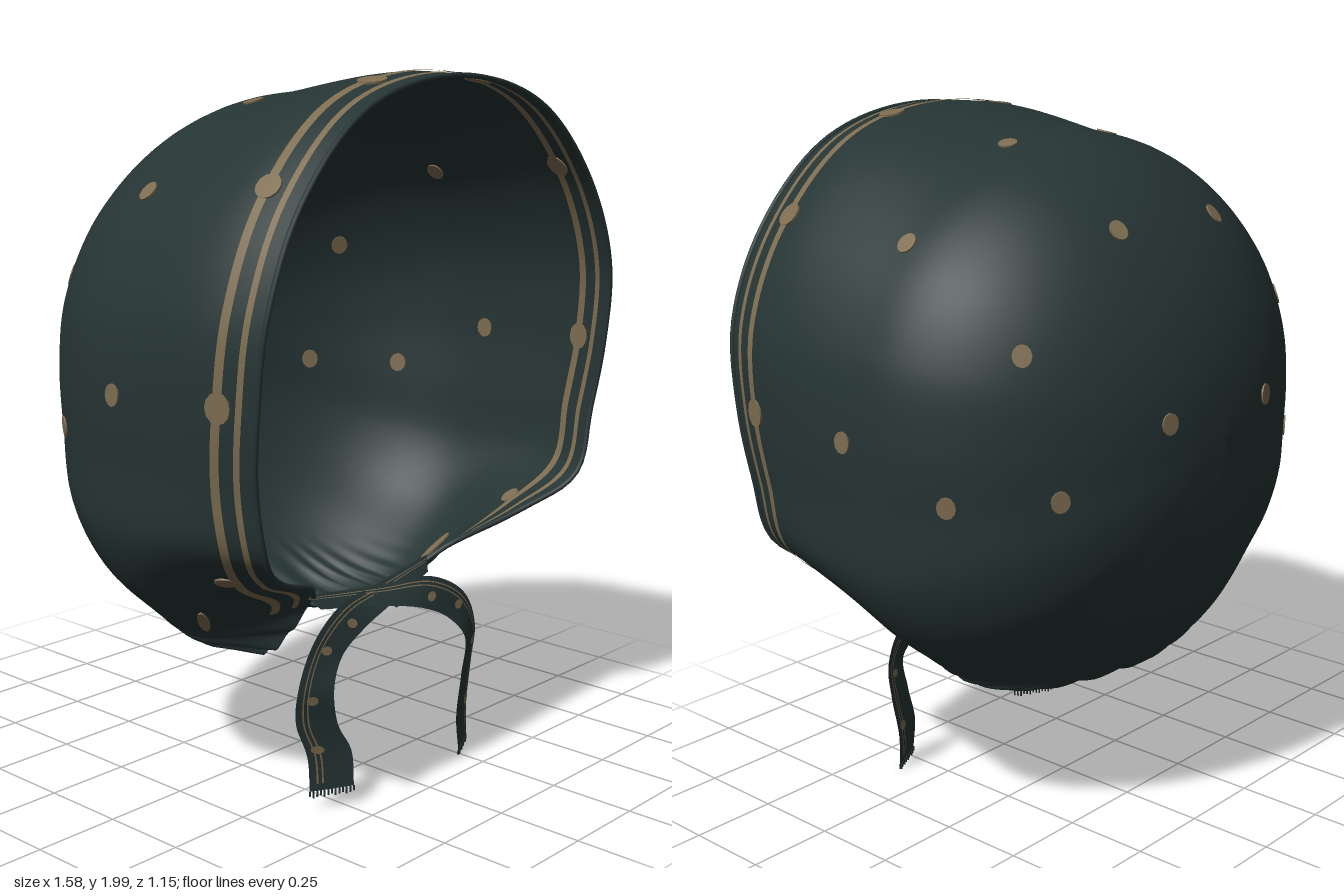
import * as THREE from 'three';
import { mergeVertices, mergeGeometries } from 'three/addons/utils/BufferGeometryUtils.js';

const V = (x, y, z) => new THREE.Vector3(x, y, z);
const mat = (name, color) => {
  const m = new THREE.MeshStandardMaterial({ color, side: THREE.DoubleSide });
  m.name = name;
  return m;
};

// Smooth sheet from f(a, b), both 0..1
function sheet(f, na, nb) {
  const pos = [], idx = [];
  for (let i = 0; i <= na; i++)
    for (let j = 0; j <= nb; j++) pos.push(...f(i / na, j / nb).toArray());
  for (let i = 0; i < na; i++)
    for (let j = 0; j < nb; j++) {
      const a = i * (nb + 1) + j, b = a + nb + 1;
      idx.push(a, a + 1, b, a + 1, b + 1, b);
    }
  let g = new THREE.BufferGeometry();
  g.setAttribute('position', new THREE.Float32BufferAttribute(pos, 3));
  g.setIndex(idx);
  g = mergeVertices(g, 1e-5);
  g.computeVertexNormals();
  return g;
}

// Half outline from crown to nape: widest point, brim swell, open edge
const ROWS = [
  [0, 1.94, 0.05, 0, 1.99, 0.4, 0, 1.98, 0.56],
  [0.36, 1.86, 0.05, 0.38, 1.915, 0.4, 0.37, 1.9, 0.562],
  [0.62, 1.66, 0.05, 0.635, 1.69, 0.39, 0.61, 1.68, 0.567],
  [0.75, 1.42, 0.05, 0.76, 1.43, 0.38, 0.725, 1.43, 0.568],
  [0.78, 1.2, 0.05, 0.78, 1.2, 0.37, 0.74, 1.2, 0.548],
  [0.77, 1.0, 0.05, 0.765, 1.0, 0.34, 0.72, 0.99, 0.522],
  [0.75, 0.8, 0.05, 0.74, 0.82, 0.3, 0.67, 0.8, 0.51],
  [0.66, 0.64, 0.03, 0.62, 0.67, 0.22, 0.52, 0.7, 0.42],
  [0.52, 0.51, 0.02, 0.46, 0.53, 0.16, 0.25, 0.575, 0.28],
  [0.4, 0.42, 0, 0.36, 0.42, 0.08, 0.29, 0.41, 0.17],
  [0.28, 0.39, -0.06, 0.27, 0.385, -0.02, 0.25, 0.39, 0.03],
  [0, 0.41, -0.2, 0, 0.385, -0.15, 0, 0.4, -0.1],
];
const N = 22; // rows around the full loop
const loops = [0, 3, 6].map((k) => {
  const pts = [];
  for (let i = 0; i < N; i++) {
    const r = ROWS[i < 12 ? i : N - i];
    pts.push(V((i < 12 ? 1 : -1) * r[k], r[k + 1], r[k + 2]));
  }
  return new THREE.CatmullRomCurve3(pts, true);
});

// Profile from the back pole to the open edge at row position i
const cache = new Map();
function profile(i) {
  const u = (((i / N) % 1) + 1) % 1;
  if (!cache.has(u)) {
    const [q, m, e] = loops.map((c) => c.getPoint(u));
    const pts = [];
    for (let k = 0; k < 7; k++) {
      const a = (k / 7) * Math.PI / 2, s = Math.sin(a);
      pts.push(V(q.x * s, 1.18 + (q.y - 1.18) * s, q.z - (q.z + 0.575) * Math.cos(a)));
    }
    cache.set(u, new THREE.CatmullRomCurve3([...pts, q, m, e]));
  }
  return cache.get(u);
}
const radial = (p, d) => {
  const l = Math.hypot(p.x, p.y - 1.15) || 1;
  return V(p.x + (p.x / l) * d, p.y + ((p.y - 1.15) / l) * d, p.z);
};
const { smoothstep } = THREE.MathUtils;

// Cloth surface with gathers toward the neck
function cloth(i, v) {
  const p = profile(i).getPointAt(v);
  const k = N / 2 - Math.abs((((i % N) + N) % N) - N / 2);
  const w = smoothstep(k, 7.6, 9.5) * smoothstep(v, 0.6, 1);
  return radial(p, w * 0.016 * Math.sin(k * 2 * Math.PI * 2.5));
}

export function createModel() {
  const root = new THREE.Group();
  root.name = 'bonnet';
  const dark = mat('dark green cloth', 0x263434);
  const tan = mat('tan print', 0x7d6c50);
  const add = (name, g, m, parent = root) => {
    const mesh = new THREE.Mesh(g, m);
    mesh.name = name;
    parent.add(mesh);
    return mesh;
  };

  // Bonnet shell
  const shell = sheet((a, b) => cloth(a * N, b), 352, 44);
  add('shell', shell, dark);

  // Rolled hem along the brim
  const hem = [];
  for (let i = -32; i <= 32; i++) hem.push(loops[2].getPoint((i / 4 / N + 1) % 1));
  add('hem', new THREE.TubeGeometry(new THREE.CatmullRomCurve3(hem), 128, 0.008, 6), dark);

  // Two printed stripes beside the brim, outside and inside
  for (const [d0, d1] of [[0.04, 0.058], [0.098, 0.124]])
    for (const off of [0.004, -0.004])
      add('brimStripe', sheet((a, b) => {
        const i = (a - 0.5) * 16.2;
        const d = d0 + (d1 - d0) * b;
        return radial(cloth(i, 1 - d / profile(i).getLength()), off);
      }, 160, 2), tan);

  // Printed dots snapped to the cloth: x, y, z, half width, half height
  const disc = new THREE.CylinderGeometry(1, 1, 0.009, 12).rotateX(Math.PI / 2);
  const P = shell.attributes.position, Nn = shell.attributes.normal;
  const dots = [
    [0.21, 1.92, 0.03], [0.6, 1.69, 0.03], [0.21, 1.73, -0.36], [0.56, 1.44, -0.33],
    [0.77, 1.19, 0.08], [0.21, 1.23, -0.56], [0.5, 1.06, -0.41], [0.7, 1.05, -0.23],
    [0.21, 1.97, 0.435, 0.04, 0.036], [0.6, 1.72, 0.44, 0.036, 0.036],
    [0.77, 1.2, 0.425, 0.036, 0.04], [0.62, 0.68, 0.33, 0.03, 0.03],
    [0.52, 0.5, 0.12, 0.016, 0.06],
  ];
  for (const [x, y, z, w = 0.026, h = 0.03] of dots)
    for (const s of [1, -1]) {
      const target = V(s * x, y, z), p = V(), best = V(), n = V();
      let min = Infinity;
      for (let k = 0; k < P.count; k++) {
        const d = p.fromBufferAttribute(P, k).distanceToSquared(target);
        if (d < min) {
          min = d;
          best.copy(p);
          n.fromBufferAttribute(Nn, k);
        }
      }
      const dot = add('dot', disc, tan);
      dot.position.copy(best);
      dot.lookAt(best.clone().add(n));
      dot.scale.set(w, h, 1);
    }

  // Crossed ribbon ties, given by their outer and inner edges
  const outer = [[-0.27, 0.58, 0.26], [0, 0.555, 0.29], [0.2, 0.545, 0.33], [0.33, 0.47, 0.35],
    [0.385, 0.36, 0.35], [0.385, 0.26, 0.34], [0.35, 0.12, 0.35], [0.345, 0.02, 0.355]];
  const inner = [[-0.24, 0.54, 0.29], [0, 0.505, 0.345], [0.13, 0.47, 0.36], [0.23, 0.42, 0.37],
    [0.285, 0.35, 0.39], [0.27, 0.24, 0.39], [0.23, 0.12, 0.405], [0.23, 0.02, 0.415]];
  for (const s of [1, -1]) {
    const tie = new THREE.Group();
    tie.name = s > 0 ? 'leftTie' : 'rightTie';
    root.add(tie);
    const lift = s > 0 ? 0 : 0.035;
    const [co, ci] = [outer, inner].map((e) => new THREE.CatmullRomCurve3(
      e.map(([x, y, z], k) => V(s * x, y + (k > 5 ? lift : 0), z + (s > 0 ? 0.008 : 0)))));
    const ribbon = (t, b, off = 0) => {
      const p = co.getPoint(t).lerp(ci.getPoint(t), b);
      p.z += off;
      return p;
    };
    add('ribbon', sheet((a, b) => ribbon(a, b), 60, 4), dark, tie);
    for (const off of [0.004, -0.004]) {
      for (const b0 of [0.14, 0.26])
        add('ribbonStripe', sheet((a, b) => ribbon(a * 0.97, b0 + b * 0.04, off), 60, 1), tan, tie);
      for (const [t, c] of [[0.3, 0.6], [0.43, 0.45], [0.62, 0.4], [0.83, 0.25]])
        add('ribbonDot', sheet((a, b) => {
          const r = b, q = a * Math.PI * 2;
          return ribbon(t + 0.018 * r * Math.cos(q), c + 0.16 * r * Math.sin(q), off);
        }, 10, 1), tan, tie);
    }
    // Frayed ends
    const threads = [];
    for (let k = 0; k <= 12; k++) {
      const p = ribbon(1, k / 12), len = 0.014 + 0.006 * ((k * 5) % 3) / 2;
      threads.push(new THREE.BoxGeometry(0.004, len, 0.004).translate(p.x, p.y - len / 2, p.z));
    }
    add('fringe', mergeGeometries(threads), dark, tie);
  }
  return root;
}
